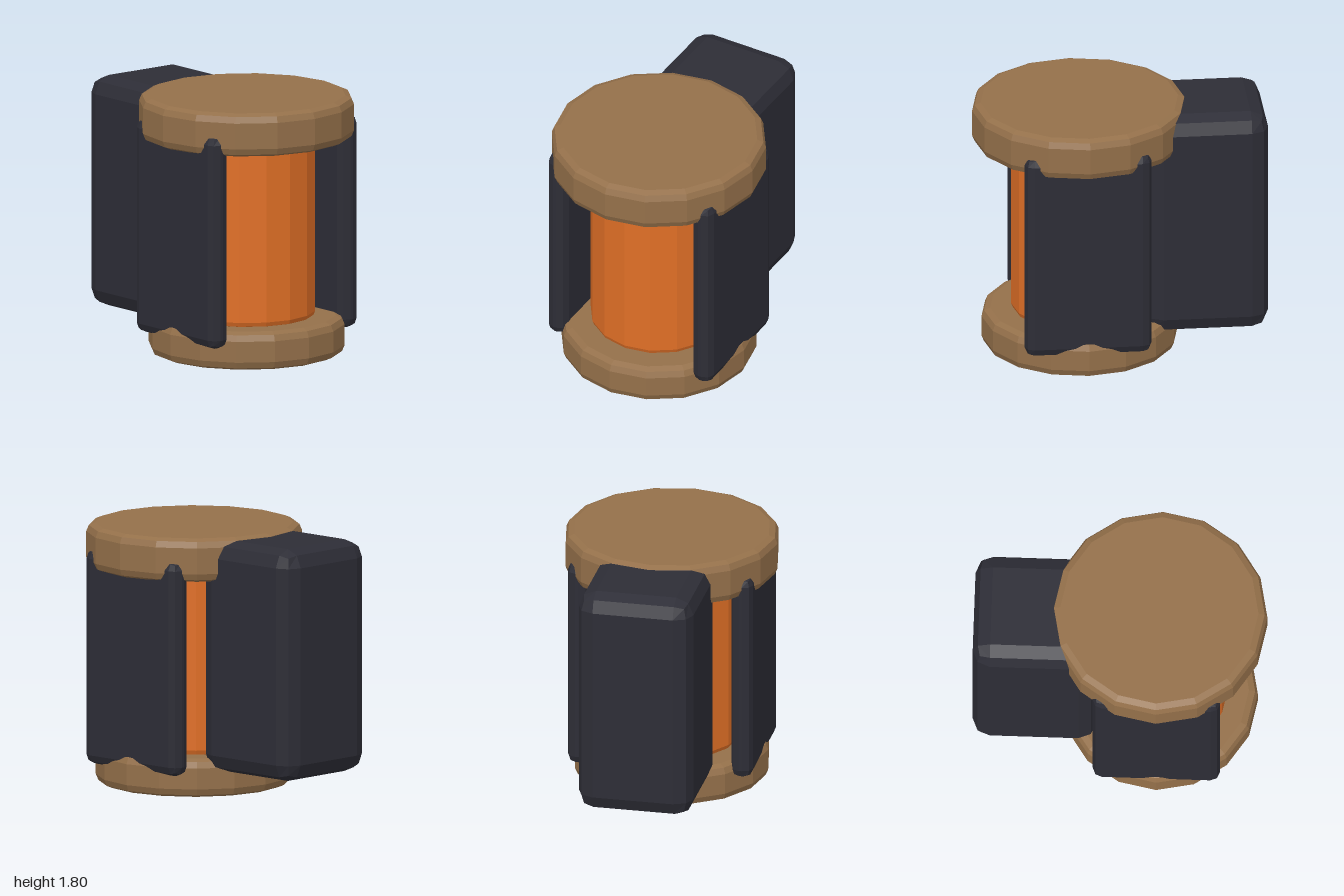
import * as THREE from 'three';
import { RoundedBoxGeometry } from 'three/addons/geometries/RoundedBoxGeometry.js';

const AXIS_Z = 0.265; // centre line of the canister

function material(name, color) {
  const m = new THREE.MeshStandardMaterial({ color });
  m.name = name;
  return m;
}

// Give every facet its own normal
function faceted(geometry) {
  const g = geometry.index ? geometry.toNonIndexed() : geometry;
  g.computeVertexNormals();
  return g;
}

// Sixteen-sided drum with a two-step bevel on both rims
function drum(radius, y0, y1, bevel) {
  const k = bevel * (1 - Math.SQRT1_2);
  const profile = [
    [0, y0], [radius - bevel, y0], [radius - k, y0 + k], [radius, y0 + bevel],
    [radius, y1 - bevel], [radius - k, y1 - k], [radius - bevel, y1], [0, y1],
  ].map(([x, y]) => new THREE.Vector2(x, y));
  return faceted(new THREE.LatheGeometry(profile, 16));
}

// Bevelled block given by its extents
function block([x0, x1], [y0, y1], [z0, z1], bevel) {
  const g = new RoundedBoxGeometry(x1 - x0, y1 - y0, z1 - z0, 1, bevel);
  g.translate((x0 + x1) / 2, (y0 + y1) / 2, (z0 + z1) / 2);
  return faceted(g);
}

export function createModel() {
  const group = new THREE.Group();
  group.name = 'canister';
  const brass = material('brass brown', 0x94704a);
  const orange = material('orange', 0xe06f26);
  const dark = material('dark grey', 0x2d2d36);

  const add = (name, geometry, mat, z = 0) => {
    const mesh = new THREE.Mesh(geometry, mat);
    mesh.name = name;
    mesh.position.z = z;
    group.add(mesh);
  };

  // Canister: base, glowing core and lid
  add('base', drum(0.672, 0, 0.265, 0.06), brass, AXIS_Z);
  add('core', drum(0.47, 0.255, 1.55, 0.04), orange, AXIS_Z);
  add('lid', drum(0.737, 1.5, 1.8, 0.06), brass, AXIS_Z);

  // Side guards, mirrored
  add('leftGuard', block([0.495, 0.647], [0.155, 1.645], [-0.17, 0.7], 0.065), dark);
  add('rightGuard', block([-0.647, -0.495], [0.155, 1.645], [-0.17, 0.7], 0.065), dark);

  // Mounting block behind
  add('backBlock', block([-0.4, 0.4], [0.175, 1.78], [-1, -0.155], 0.12), dark);

  return group;
}
